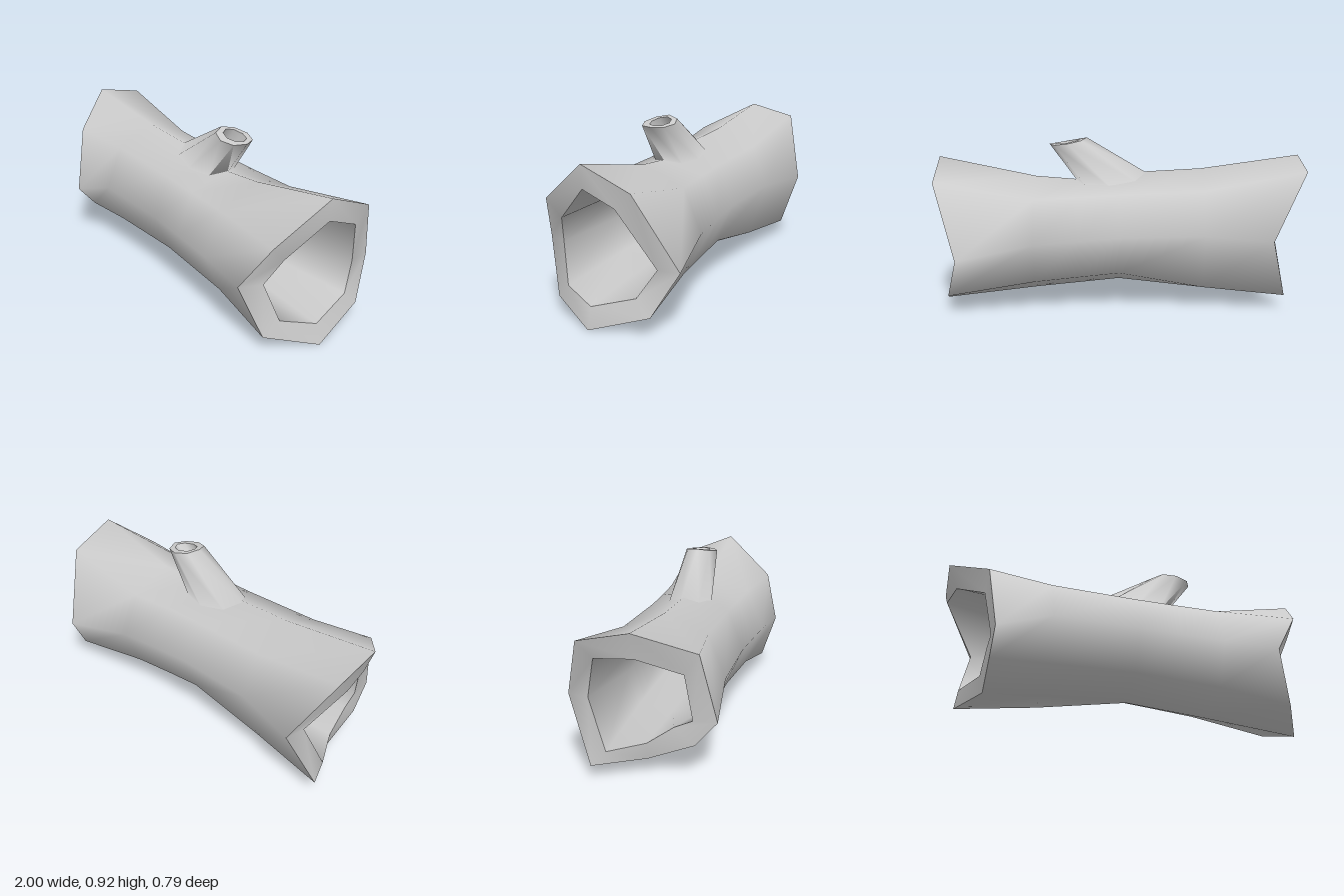
import * as THREE from 'three';

const material = new THREE.MeshStandardMaterial({ color: 0xcccccc });

// Skin closed rings of [x, y, z] points with smooth normals.
function loft(name, rings) {
  const n = rings[0].length, index = [];
  for (let i = 0; i < rings.length - 1; i++) {
    for (let k = 0; k < n; k++) {
      const a = i * n + k, b = i * n + (k + 1) % n, c = a + n, d = b + n;
      index.push(a, c, d, a, d, b);
    }
  }
  const geometry = new THREE.BufferGeometry();
  geometry.setAttribute('position', new THREE.Float32BufferAttribute(rings.flat(2), 3));
  geometry.setIndex(index);
  geometry.computeVertexNormals();
  const mesh = new THREE.Mesh(geometry, material);
  mesh.name = name;
  return mesh;
}

// Upright octagon across the log: top, back, bottom, front.
function logRing(x, y, z, ry, rz) {
  return Array.from({ length: 8 }, (_, k) => {
    const a = k * Math.PI / 4;
    return [x, y + ry * Math.cos(a), z - rz * Math.sin(a)];
  });
}

// Level octagon around the branch; y is given by a rule of x and z.
function branchRing(x, z, rx, rz, height) {
  return Array.from({ length: 8 }, (_, k) => {
    const a = k * Math.PI / 4;
    const px = x + rx * Math.cos(a), pz = z + rz * Math.sin(a);
    return [px, height(px, pz), pz];
  });
}

export function createModel() {
  const model = new THREE.Group();
  model.name = 'hollowLog';

  // Ragged ends, listed from the top over the back to the front
  const leftEnd = [
    [-1, 0.82, 0.04], [-1, 0.76, -0.22], [-0.81, 0.41, -0.35], [-0.9, 0.08, -0.21],
    [-0.77, 0.09, 0.04], [-0.765, 0.19, 0.275], [-0.755, 0.32, 0.385], [-0.8, 0.675, 0.305],
  ];
  const leftInner = [
    [-0.95, 0.68, 0.04], [-0.99, 0.68, -0.14], [-0.83, 0.41, -0.24], [-0.885, 0.16, -0.135],
    [-0.79, 0.183, 0.04], [-0.775, 0.28, 0.175], [-0.765, 0.32, 0.265], [-0.81, 0.57, 0.235],
  ];
  const rightEnd = [
    [0.995, 0.815, 0.04], [0.99, 0.705, -0.22], [0.855, 0.32, -0.395], [0.92, 0.1, -0.27],
    [0.975, 0, 0.04], [0.84, 0.08, 0.3], [0.755, 0.36, 0.395], [0.9, 0.6, 0.31],
  ];
  const rightInner = [
    [0.985, 0.695, 0.04], [0.99, 0.625, -0.135], [0.865, 0.32, -0.28], [0.91, 0.18, -0.19],
    [0.945, 0.11, 0.04], [0.87, 0.16, 0.22], [0.81, 0.36, 0.28], [0.89, 0.51, 0.23],
  ];

  // Bark: a sagging lower back on the left, a dip on top beside the branch
  const leftRing = logRing(-0.46, 0.425, 0.037, 0.32, 0.315);
  leftRing[3] = [-0.46, 0.115, -0.17];
  const dipRing = logRing(0.22, 0.4, 0.035, 0.312, 0.318);
  dipRing[0][1] = 0.685;
  model.add(loft('bark', [
    leftEnd,
    leftRing,
    logRing(0, 0.415, 0.037, 0.305, 0.307),
    dipRing,
    logRing(0.46, 0.385, 0.03, 0.32, 0.335),
    rightEnd,
  ]));
  model.add(loft('rightRim', [rightEnd, rightInner]));
  model.add(loft('leftRim', [leftInner, leftEnd]));

  // Hollow, narrowest along the middle
  const middle = (x) => [
    [x, 0.61, 0.04], [x, 0.54, -0.135], [x, 0.36, -0.205], [x, 0.185, -0.14],
    [x, 0.155, 0.04], [x, 0.19, 0.215], [x, 0.36, 0.272], [x, 0.51, 0.23],
  ];
  model.add(loft('hollow', [rightInner, middle(0.35), middle(-0.35), leftInner]));

  // Slanted branch stub with a small hollow tip
  const branch = new THREE.Group();
  branch.name = 'branch';
  const onLog = (x, z) => 0.722 - 0.11 * (x + 0.15) - 0.42 * Math.abs(z - 0.04);
  const tipHeight = (x, z) => 0.92 - 0.17 * (x - 0.175) - 0.1 * Math.abs(z - 0.03);
  const base = branchRing(0.035, 0.03, 0.195, 0.12, onLog);
  const tip = branchRing(0.28, 0.03, 0.103, 0.09, tipHeight);
  const tipInner = branchRing(0.28, 0.025, 0.072, 0.052, tipHeight);
  const pocket = branchRing(0.17, 0.03, 0.045, 0.035, () => 0.77);
  const pocketPoint = branchRing(0.17, 0.03, 0, 0, () => 0.77);
  const branchBark = loft('branchBark', [base, tip]);
  // The foot takes the log's own normals so that it flows into the bark
  base.forEach(([, y, z], k) => {
    const n = new THREE.Vector3(0, y - 0.41, z - 0.04).normalize();
    branchBark.geometry.attributes.normal.setXYZ(k, n.x, n.y, n.z);
  });
  branch.add(branchBark);
  branch.add(loft('branchRim', [tip, tipInner]));
  branch.add(loft('branchHollow', [tipInner, pocket, pocketPoint]));
  model.add(branch);

  return model;
}
